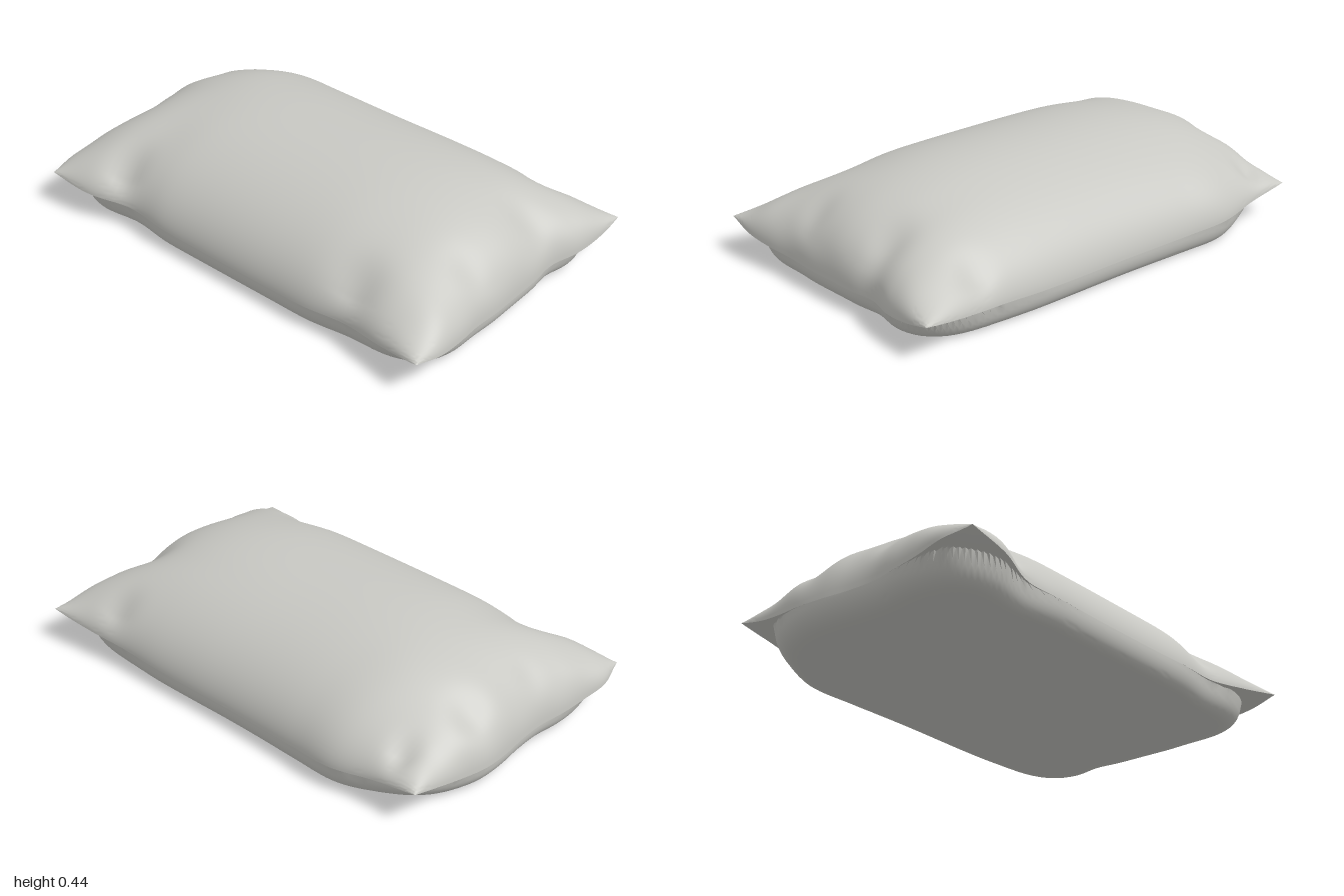
import * as THREE from 'three';
import { toCreasedNormals } from 'three/addons/utils/BufferGeometryUtils.js';

// Evenly spaced values turned into a smooth function of t in [-1, 1]
function edge(values) {
  const curve = new THREE.SplineCurve(values.map((y, i) => new THREE.Vector2(i, y)));
  return (t) => curve.getPoint((t + 1) / 2).y;
}

// Outline of the seam: z along x for front and back, x along z for the ends
const front = edge([0.565, 0.56, 0.51, 0.53, 0.54, 0.55, 0.56, 0.57, 0.565, 0.605, 0.64]);
const back = edge([-0.62, -0.62, -0.647, -0.63, -0.615, -0.605, -0.6, -0.595, -0.588, -0.6, -0.61]);
const endNegX = edge([-0.91, -0.92, -0.94, -0.96, -0.96, -0.95, -0.95, -0.97, -0.985, -1, -0.975]);
const endPosX = edge([1, 0.995, 0.975, 0.935, 0.94, 0.94, 0.94, 0.935, 0.945, 0.95, 0.935]);

// Fabric dents near the corners: x, z, radius x, radius z, depth
const dents = [
  [-0.66, 0.47, 0.07, 0.09, 0.04], [0.55, 0.5, 0.09, 0.08, 0.03],
  [0.84, -0.2, 0.09, 0.08, 0.03], [0.86, 0.2, 0.08, 0.07, 0.02],
  [-0.86, -0.25, 0.07, 0.07, 0.025], [-0.78, -0.54, 0.05, 0.07, 0.03],
  [0.7, -0.53, 0.07, 0.07, 0.025], [-0.88, 0.1, 0.06, 0.06, 0.015],
];

// The seam rises towards the four corners
const seamHeight = (u, v) => 0.09 + 0.06 * Math.pow(Math.abs(u * v), 3);

function topHeight(u, v, x, z) {
  const seam = seamHeight(u, v);
  const across = Math.pow(Math.max(0, 1 - Math.pow(Math.abs(u), 3.5)), 0.45);
  const along = Math.pow(Math.max(0, 1 - v * v), 0.55);
  let y = seam + (0.442 - seam) * across * along;
  const fade = Math.min(1, across * along * 3);
  for (const [dx, dz, rx, rz, depth] of dents) {
    y -= fade * depth * Math.exp(-(((x - dx) / rx) ** 2) - ((z - dz) / rz) ** 2);
  }
  // Soft gathers running in from both ends
  y += fade * 0.006 * Math.pow(Math.abs(u), 8) * Math.sin(v * 17 + u * 2);
  return Math.max(y, seam);
}

// Flat base with a tight roll up to the seam and flaps at the corners
function bottomHeight(u, v) {
  const m = Math.pow(Math.abs(u) ** 5 + Math.abs(v) ** 5, 0.2);
  const s = THREE.MathUtils.clamp((m - 0.9) / 0.1, 0, 1);
  return seamHeight(u, v) * (1 - Math.sqrt(1 - s * s));
}

// One fabric sheet over a grid that tightens towards the seam
function sheet(height, facesUp) {
  const n = 80;
  const positions = [];
  const index = [];
  const grid = (i) => Math.sin((i / n - 0.5) * Math.PI);
  for (let j = 0; j <= n; j++) {
    for (let i = 0; i <= n; i++) {
      const u = grid(i), v = grid(j);
      const x = THREE.MathUtils.lerp(endNegX(v), endPosX(v), (u + 1) / 2);
      const z = THREE.MathUtils.lerp(back(u), front(u), (v + 1) / 2);
      positions.push(x, height(u, v, x, z), z);
      if (i < n && j < n) {
        const a = j * (n + 1) + i, b = a + 1, c = a + n + 1, d = c + 1;
        if (facesUp) index.push(a, c, b, b, c, d);
        else index.push(a, b, c, b, d, c);
      }
    }
  }
  const geometry = new THREE.BufferGeometry();
  geometry.setAttribute('position', new THREE.Float32BufferAttribute(positions, 3));
  geometry.setIndex(index);
  return toCreasedNormals(geometry, 1.0);
}

export function createModel() {
  const group = new THREE.Group();
  group.name = 'pillow';
  const fabric = new THREE.MeshStandardMaterial({ color: 0xc8c8c3 });
  fabric.name = 'pale grey fabric';

  const top = new THREE.Mesh(sheet(topHeight, true), fabric);
  top.name = 'pillowTop';
  const base = new THREE.Mesh(sheet(bottomHeight, false), fabric);
  base.name = 'pillowBase';
  group.add(top, base);
  return group;
}
